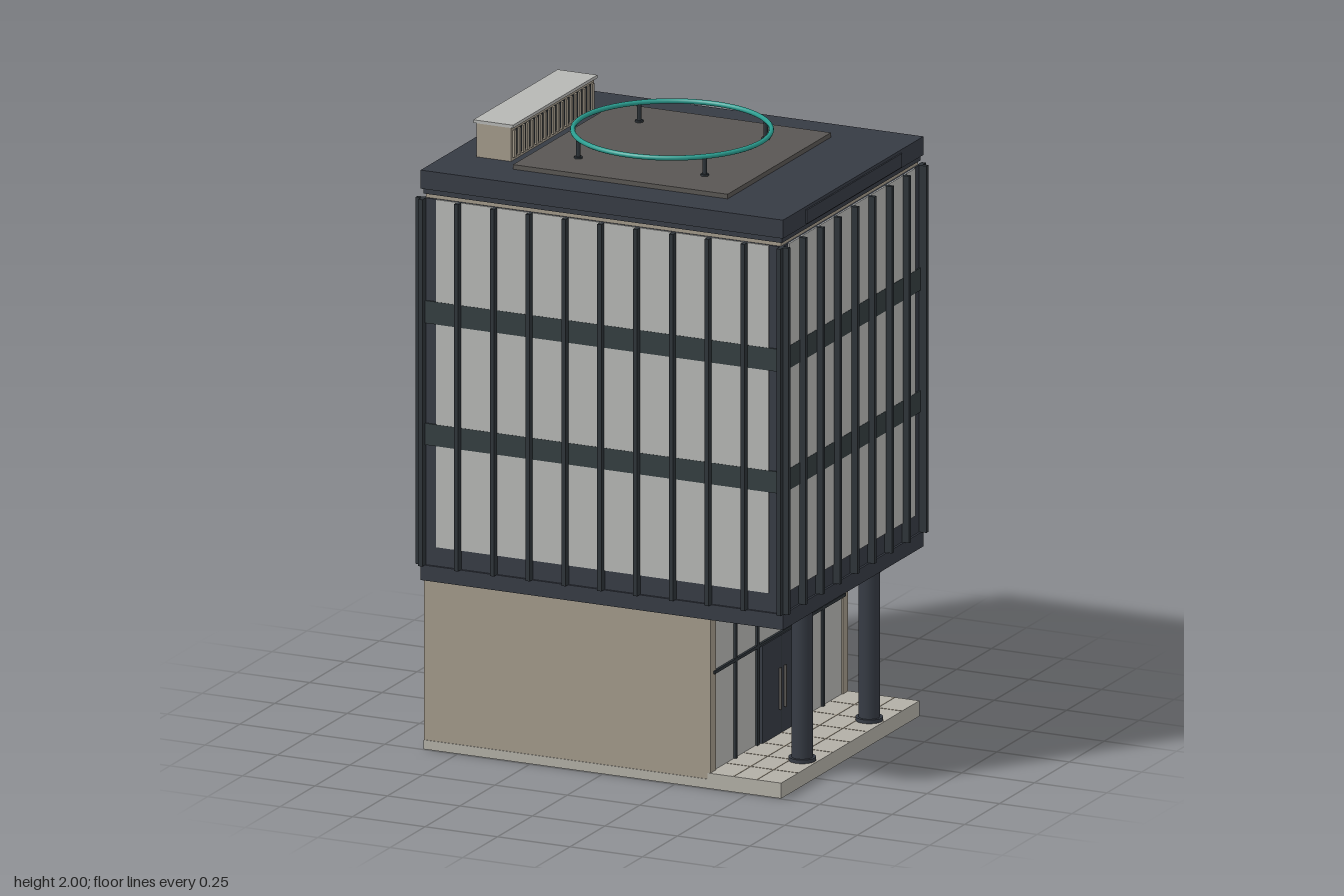
import * as THREE from 'three';

const mat = (name, color) => {
  const m = new THREE.MeshStandardMaterial({ color });
  m.name = name;
  return m;
};

export function createModel() {
  const charcoal = mat('charcoal cladding', 0x363b44);
  const spandrel = mat('spandrel grey', 0x343d40);
  const frame = mat('frame metal', 0x2d3338);
  const glass = mat('pale glass', 0xb6b7b4);
  const stone = mat('beige stone', 0xa2998a);
  const paving = mat('pale paving', 0xb2afa6);
  const deck = mat('roof deck', 0x595653);
  const teal = mat('teal rail', 0x2a9d90);

  const model = new THREE.Group();
  model.name = 'officeBuilding';
  const add = (name, geo, material, x = 0, y = 0, z = 0, parent = model) => {
    const m = new THREE.Mesh(geo, material);
    m.name = name;
    m.position.set(x, y, z);
    parent.add(m);
    return m;
  };
  // Box given by its lower and upper limits on each axis
  const box = (name, material, [x0, x1], [y0, y1], [z0, z1], parent = model) =>
    add(name, new THREE.BoxGeometry(x1 - x0, y1 - y0, z1 - z0), material,
      (x0 + x1) / 2, (y0 + y1) / 2, (z0 + z1) / 2, parent);

  // Ground level: plinth, solid stone block and open porch
  box('plinth', paving, [-0.618, 0.615], [0, 0.03], [-0.495, 0.495]);
  box('porchFloor', paving, [0.36, 0.615], [0.03, 0.05], [-0.495, 0.495]);
  box('stoneBase', stone, [-0.618, 0.36], [0.03, 0.55], [-0.493, 0.493]);
  for (const s of [-1, 1])
    box('wingWall', stone, [0.36, 0.37], [0.05, 0.55], s > 0 ? [0.455, 0.493] : [-0.493, -0.455]);

  // Paving joints
  for (let i = 1; i < 8; i++)
    box('pavingJoint', stone, [0.37, 0.613], [0.05, 0.051], [-0.495 + i * 0.124 - 0.002, -0.495 + i * 0.124 + 0.002]);
  for (const x of [0.45, 0.53])
    box('pavingJoint', stone, [x - 0.002, x + 0.002], [0.05, 0.051], [-0.493, 0.493]);

  // Entrance front
  box('lobbyGlass', glass, [0.36, 0.366], [0.05, 0.54], [-0.455, 0.455]);
  box('lobbyTransom', frame, [0.366, 0.374], [0.365, 0.375], [-0.47, 0.47]);
  for (const z of [-0.312, -0.157, 0.157, 0.312])
    box('lobbyMullion', frame, [0.366, 0.374], [0.05, 0.54], [z - 0.006, z + 0.006]);
  box('entranceDoor', charcoal, [0.366, 0.378], [0.05, 0.367], [-0.136, 0.136]);
  box('doorGap', frame, [0.378, 0.379], [0.05, 0.367], [-0.002, 0.002]);
  for (const z of [-0.018, 0.018])
    box('doorHandle', deck, [0.379, 0.387], [0.13, 0.265], [z - 0.003, z + 0.003]);

  // Porch columns with base and cap rings
  for (const z of [-0.24, 0.24]) {
    add('porchColumn', new THREE.CylinderGeometry(0.034, 0.034, 0.5, 24), charcoal, 0.565, 0.3, z);
    add('columnBase', new THREE.CylinderGeometry(0.043, 0.043, 0.012, 24), charcoal, 0.565, 0.056, z);
    add('columnCap', new THREE.CylinderGeometry(0.04, 0.04, 0.012, 24), charcoal, 0.565, 0.541, z);
  }
  // Porch ceiling and recessed lights
  box('porchCeiling', charcoal, [0.37, 0.525], [0.537, 0.55], [-0.455, 0.455]);
  for (const z of [-0.32, 0, 0.32])
    box('ceilingLight', stone, [0.415, 0.48], [0.534, 0.537], [z - 0.05, z + 0.05]);

  // Office block
  box('floorSlab', charcoal, [-0.625, 0.625], [0.55, 0.6], [-0.503, 0.503]);
  box('officeBody', charcoal, [-0.618, 0.618], [0.6, 1.79], [-0.496, 0.496]);
  box('shadowGap', stone, [-0.612, 0.612], [1.79, 1.82], [-0.49, 0.49]);
  box('corniceLine', charcoal, [-0.618, 0.618], [1.803, 1.82], [-0.496, 0.496]);

  // Curtain wall: a facade facing +z, turned for the four sides
  const step = 0.1235;
  const facade = (name, half, depth, bays, angle) => {
    const g = new THREE.Group();
    g.name = name;
    g.rotation.y = angle;
    model.add(g);
    const w = half - 0.045;
    for (const [y0, y1] of [[0.662, 0.99], [1.06, 1.385], [1.458, 1.79]])
      box('windowBand', glass, [-w, w], [y0, y1], [depth, depth + 0.004], g);
    for (const [y0, y1] of [[0.99, 1.06], [1.385, 1.458]])
      box('spandrelBand', spandrel, [-half, half], [y0, y1], [depth, depth + 0.005], g);
    for (let i = 0; i <= bays; i++) {
      const x = (i - bays / 2) * step;
      box('mullion', frame, [x - 0.007, x + 0.007], [0.6, 1.79], [depth, depth + 0.025], g);
    }
  };
  facade('frontFacade', 0.618, 0.496, 10, 0);
  facade('backFacade', 0.618, 0.496, 10, Math.PI);
  facade('leftFacade', 0.496, 0.618, 8, Math.PI / 2);
  facade('rightFacade', 0.496, 0.618, 8, -Math.PI / 2);

  // Roof
  box('roofSlab', charcoal, [-0.625, 0.625], [1.82, 1.88], [-0.503, 0.503]);
  box('fasciaPlate', charcoal, [0.625, 0.63], [1.825, 1.87], [-0.34, 0.34]);
  box('roofDeck', deck, [-0.37, 0.37], [1.88, 1.895], [-0.37, 0.37]);

  // Ring rail on four posts
  add('ringRail', new THREE.TorusGeometry(0.309, 0.008, 10, 64).rotateX(Math.PI / 2), teal, 0, 1.957, 0);
  for (const x of [-0.218, 0.218]) for (const z of [-0.218, 0.218]) {
    add('railPost', new THREE.CylinderGeometry(0.007, 0.007, 0.06, 12), frame, x, 1.923, z);
    add('postFoot', new THREE.CylinderGeometry(0.013, 0.013, 0.006, 12), frame, x, 1.898, z);
  }

  // Rooftop plant room with louvres on both long sides
  box('plantRoom', stone, [-0.53, -0.412], [1.88, 1.99], [-0.298, 0.298]);
  box('plantRoof', glass, [-0.54, -0.403], [1.99, 2], [-0.302, 0.302]);
  for (const [x0, x1, f0, f1] of [[-0.532, -0.53, -0.537, -0.53], [-0.412, -0.41, -0.412, -0.405]]) {
    box('louvrePanel', frame, [x0, x1], [1.895, 1.978], [-0.285, 0.285]);
    for (let i = 0; i < 19; i++) {
      const z = -0.279 + i * 0.031;
      box('louvreFin', stone, [f0, f1], [1.89, 1.978], [z - 0.007, z + 0.007]);
    }
  }
  return model;
}
